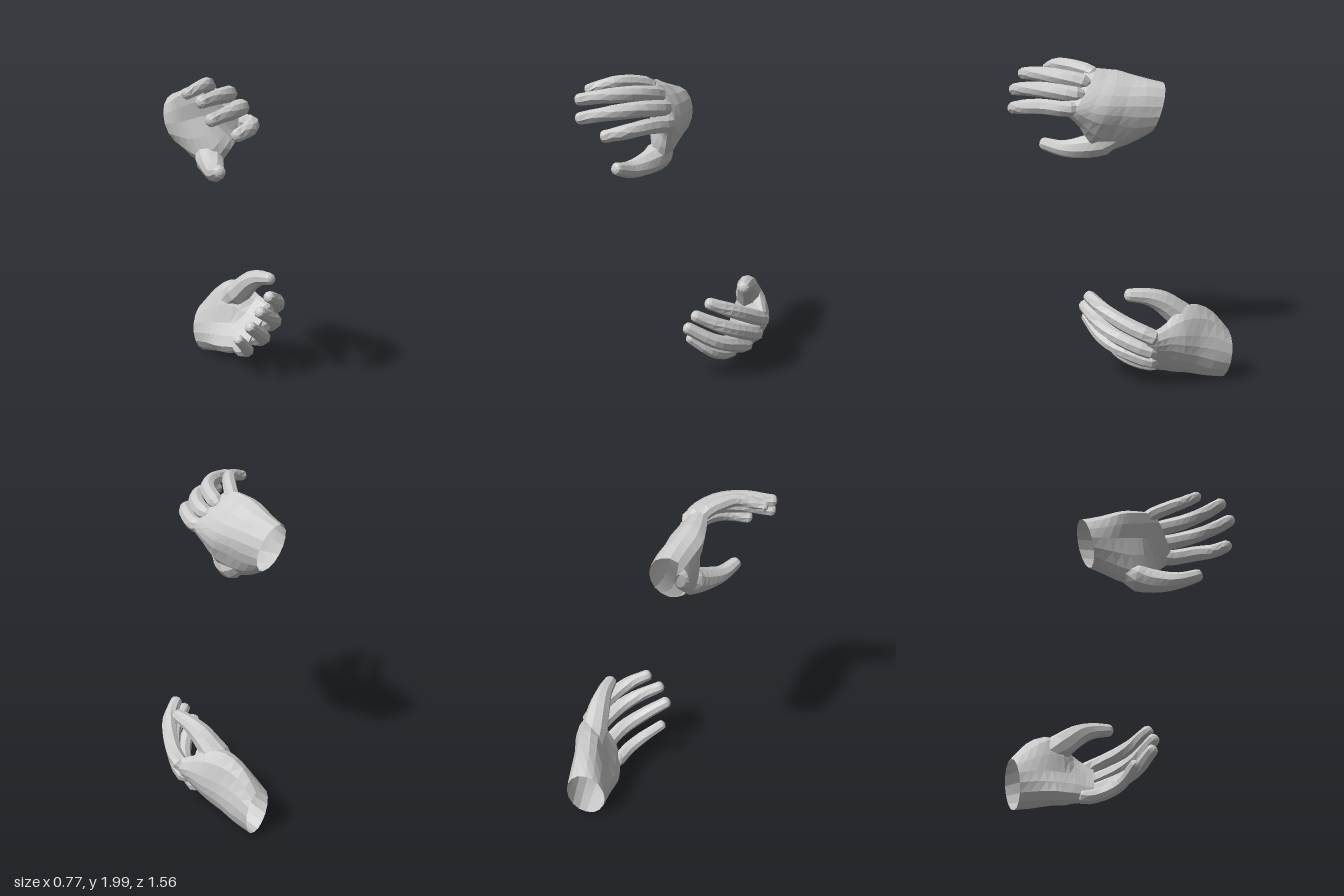
import * as THREE from 'three';

const V = (a) => new THREE.Vector3(...a);
const material = new THREE.MeshStandardMaterial({ color: 0xcccccc, flatShading: true, side: THREE.DoubleSide });

// Joins cross-section rings (arrays of Vector3 with equal length) into one skin
function skin(name, rings) {
  const n = rings[0].length, index = [];
  for (let i = 0; i < rings.length - 1; i++)
    for (let j = 0; j < n; j++) {
      const a = i * n + j, b = i * n + (j + 1) % n;
      index.push(a, b, a + n, b, b + n, a + n);
    }
  const geometry = new THREE.BufferGeometry().setFromPoints(rings.flat());
  geometry.setIndex(index);
  geometry.computeVertexNormals();
  const mesh = new THREE.Mesh(geometry, material);
  mesh.name = name;
  return mesh;
}

// Tapered limb with a rounded tip: one radius per path point
function limb(name, points, radii, up, steps = 12, sides = 8) {
  const path = new THREE.CatmullRomCurve3(points, false, 'centripetal');
  const rings = [];
  const add = (c, t, r) => {
    const a = up.clone().addScaledVector(t, -up.dot(t)).normalize();
    const b = t.clone().cross(a);
    rings.push(Array.from({ length: sides }, (_, j) => {
      const angle = (j / sides) * Math.PI * 2;
      return c.clone().addScaledVector(a, r * Math.cos(angle)).addScaledVector(b, r * Math.sin(angle));
    }));
  };
  for (let i = 0; i <= steps; i++) {
    const s = i / steps, k = Math.min(s * (radii.length - 1), radii.length - 1.0001), f = Math.floor(k);
    add(path.getPoint(s), path.getTangent(s), THREE.MathUtils.lerp(radii[f], radii[f + 1], k - f));
  }
  const t = path.getTangent(1), r = radii.at(-1);
  for (const angle of [0.6, 1.1, 1.57])
    add(points.at(-1).clone().addScaledVector(t, r * 0.7 * Math.sin(angle)), t, r * Math.cos(angle));
  return skin(name, rings);
}

// Palm sections from wrist to finger webs: distance, slant, then eight pairs
// (towards thumb, towards back of hand) running from the thumb edge over the back
const palmSections = [
  [0, 0.1, 0.153, -0.067, 0.136, 0.035, 0.04, 0.116, -0.08, 0.13, -0.153, 0.067, -0.136, -0.035, -0.04, -0.116, 0.08, -0.13],
  [0.12, 0.1, 0.225, -0.15, 0.16, 0, 0.05, 0.1, -0.08, 0.115, -0.17, 0.05, -0.16, -0.06, -0.04, -0.13, 0.13, -0.18],
  [0.23, 0.15, 0.265, -0.175, 0.16, -0.005, 0.06, 0.075, -0.07, 0.09, -0.19, 0.03, -0.19, -0.08, -0.04, -0.125, 0.17, -0.215],
  [0.33, 0.25, 0.245, -0.15, 0.17, 0, 0.07, 0.065, -0.07, 0.075, -0.205, 0.02, -0.2, -0.075, -0.04, -0.11, 0.16, -0.19],
  [0.41, 0.4, 0.18, -0.09, 0.15, 0, 0.07, 0.045, -0.07, 0.055, -0.205, 0.01, -0.2, -0.07, -0.04, -0.095, 0.11, -0.1],
  [0.5, 0.45, 0.14, -0.05, 0.115, 0.01, 0.04, 0.03, -0.09, 0.03, -0.2, 0.005, -0.2, -0.055, -0.06, -0.075, 0.08, -0.075],
  [0.56, 0.45, 0.115, -0.05, 0.09, -0.02, 0.02, -0.005, -0.08, -0.005, -0.185, -0.025, -0.185, -0.05, -0.07, -0.07, 0.06, -0.065],
];

function palm(place, side) {
  const rails = Array.from({ length: 8 }, (_, j) => new THREE.CatmullRomCurve3(
    palmSections.map(([d, slant, ...p]) => place(d + slant * p[2 * j], p[2 * j], p[2 * j + 1]))));
  const rings = [], steps = 12;
  for (let i = 0; i <= steps; i++) {
    const loop = new THREE.CatmullRomCurve3(rails.map((rail) => rail.getPoint(i / steps)), true);
    const points = Array.from({ length: 16 }, (_, j) => loop.getPoint(j / 16));
    rings.push(side > 0 ? points : points.reverse());
  }
  // Close the end between the fingers
  const end = rings.at(-1), middle = end.reduce((sum, p) => sum.add(p), V([0, 0, 0])).divideScalar(end.length);
  rings.push(end.map(() => middle.clone()));
  return skin('palm', rings);
}

// side is 1 or -1 for the two mirrored hands
function hand(name, { side, wrist, along, across, fingers, thumb }) {
  const group = new THREE.Group();
  group.name = name;
  const d = V(along).normalize();
  const u = V(across).addScaledVector(d, -V(across).dot(d)).normalize();
  const back = d.clone().cross(u).multiplyScalar(side);
  const place = (x, y, z) => V(wrist).addScaledVector(d, x).addScaledVector(u, y).addScaledVector(back, z);
  group.add(palm(place, side));

  // Four fingers, each tapering to a root inside the palm
  const centre = place(0.33, -0.02, -0.02);
  for (const [finger, points] of Object.entries(fingers)) {
    const pts = points.map(V), k = finger === 'littleFinger' ? 0.88 : 1;
    pts.unshift(pts[0].clone().lerp(centre, 0.4));
    const radii = [0.015, 0.052, 0.05, 0.046, 0.039].map((r) => r * k);
    group.add(limb(finger, pts, radii, back));
  }

  // Thumb, growing out of the fleshy edge of the palm
  group.add(limb('thumb', thumb.map(V), [0.04, 0.088, 0.07, 0.053, 0.041], back, 12, 9));
  return group;
}

const upperHand = {
  side: 1,
  wrist: [-0.295, 1.69, -0.12],
  along: [0.767, 0.203, 0.61],
  across: [0.44, -0.853, -0.27],
  fingers: {
    littleFinger: [[-0.05, 1.915, 0.21], [-0.035, 1.95, 0.34], [-0.04, 1.955, 0.47], [-0.115, 1.915, 0.6]],
    ringFinger: [[0.05, 1.87, 0.21], [0.1, 1.9, 0.38], [0.07, 1.9, 0.56], [-0.01, 1.88, 0.72]],
    middleFinger: [[0.12, 1.8, 0.21], [0.175, 1.82, 0.39], [0.14, 1.81, 0.58], [0.05, 1.78, 0.75]],
    indexFinger: [[0.17, 1.715, 0.22], [0.235, 1.725, 0.4], [0.24, 1.71, 0.54], [0.185, 1.685, 0.66]],
  },
  thumb: [[-0.15, 1.555, 0.02], [-0.06, 1.475, 0.14], [-0.01, 1.435, 0.28], [0.02, 1.425, 0.4], [0.06, 1.45, 0.51]],
};

const lowerHand = {
  side: -1,
  wrist: [-0.22, 0.17, -0.675],
  along: [0.852, 0.185, 0.491],
  across: [0.188, 0.768, -0.614],
  fingers: {
    littleFinger: [[0.07, 0.115, -0.34], [0.13, 0.135, -0.23], [0.15, 0.185, -0.11], [0.11, 0.28, 0.015]],
    ringFinger: [[0.17, 0.18, -0.38], [0.24, 0.23, -0.23], [0.25, 0.29, -0.07], [0.195, 0.39, 0.09]],
    middleFinger: [[0.24, 0.27, -0.41], [0.315, 0.345, -0.23], [0.315, 0.405, -0.09], [0.255, 0.485, 0.07]],
    indexFinger: [[0.265, 0.37, -0.44], [0.33, 0.45, -0.27], [0.34, 0.515, -0.13], [0.305, 0.57, 0]],
  },
  thumb: [[-0.1, 0.35, -0.57], [0.03, 0.46, -0.5], [0.13, 0.565, -0.42], [0.2, 0.605, -0.36], [0.28, 0.62, -0.28]],
};

export function createModel() {
  const model = new THREE.Group();
  model.name = 'pairOfHands';
  model.add(hand('upperHand', upperHand), hand('lowerHand', lowerHand));
  return model;
}
